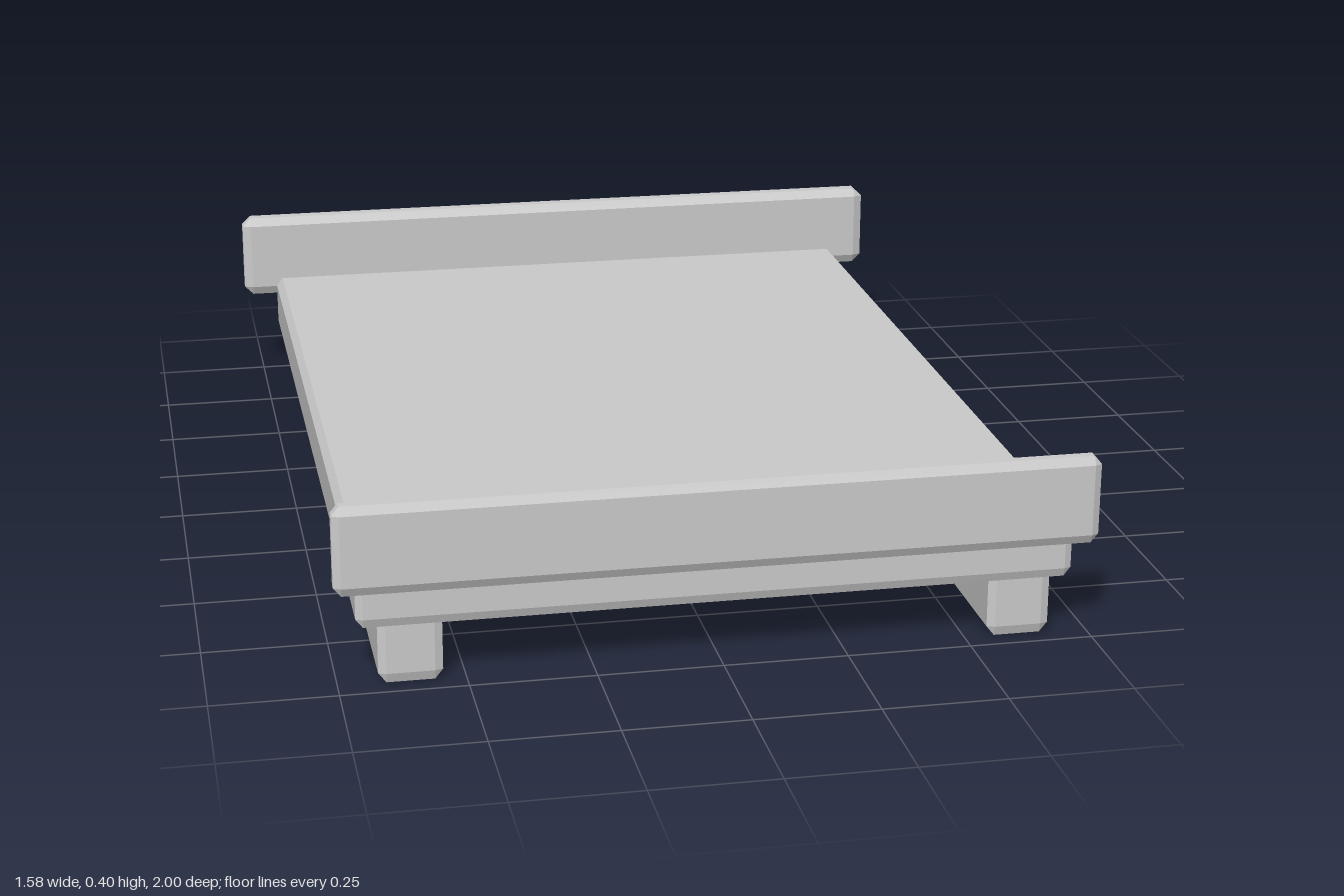
import * as THREE from 'three';
import { ConvexGeometry } from 'three/addons/geometries/ConvexGeometry.js';

const material = new THREE.MeshStandardMaterial({ color: 0xcccccc, flatShading: true });

// Box between two corners, with every edge cut by the per-axis bevel [bx, by, bz]
function bevelledBox(name, min, max, [bx, by, bz]) {
  const c = min.map((v, i) => (v + max[i]) / 2);
  const [hx, hy, hz] = min.map((v, i) => (max[i] - v) / 2);
  const points = [];
  for (const sx of [-1, 1]) for (const sy of [-1, 1]) for (const sz of [-1, 1]) {
    points.push(
      new THREE.Vector3(sx * hx, sy * (hy - by), sz * (hz - bz)),
      new THREE.Vector3(sx * (hx - bx), sy * hy, sz * (hz - bz)),
      new THREE.Vector3(sx * (hx - bx), sy * (hy - by), sz * hz)
    );
  }
  const mesh = new THREE.Mesh(new ConvexGeometry(points), material);
  mesh.name = name;
  mesh.position.set(...c);
  return mesh;
}

export function createModel() {
  const model = new THREE.Group();
  model.name = 'platformBed';

  // Flat slab
  model.add(bevelledBox('deck', [-0.712, 0.12, -0.955], [0.712, 0.247, 0.968], [0.014, 0.018, 0.006]));

  // Tall board at the back, lower and narrower one at the front
  model.add(bevelledBox('headboard', [-0.79, 0.205, -1], [0.79, 0.4, -0.957], [0.02, 0.02, 0.009]));
  model.add(bevelledBox('footboard', [-0.755, 0.2, 0.965], [0.755, 0.382, 1], [0.015, 0.018, 0.008]));

  // Two long runners under the slab
  for (const [side, x] of [['left', 0.608], ['right', -0.608]]) {
    model.add(bevelledBox(side + 'Runner', [x - 0.063, 0, -0.985], [x + 0.063, 0.2, 0.962], [0.016, 0.02, 0.006]));
  }
  return model;
}
